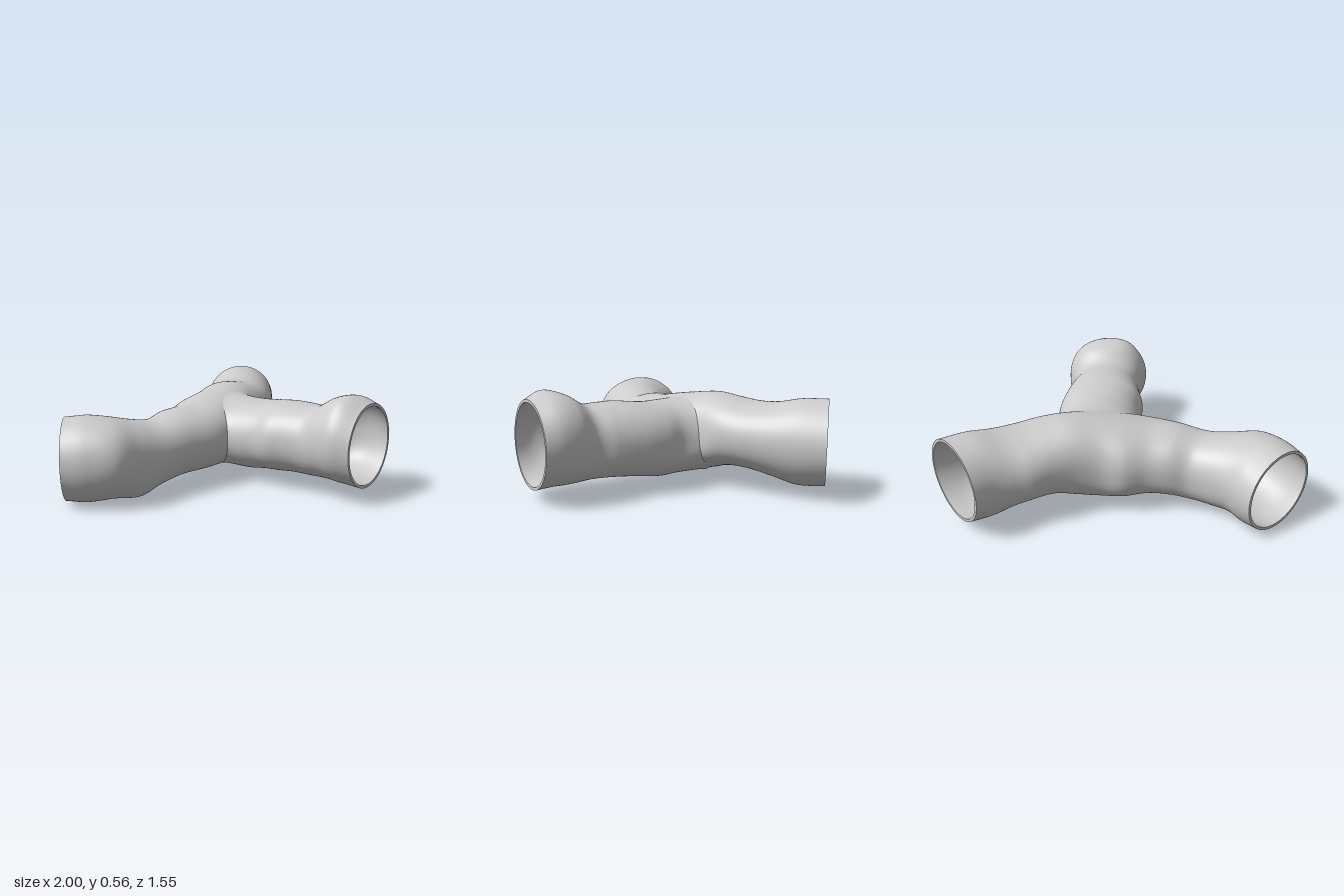
import * as THREE from 'three';

const WALL = 0.016, FLARE = 0.02, AROUND = 96;
const material = new THREE.MeshStandardMaterial({ color: 0xcccccc });

// Sections: front x, front z, back x, back z, bottom y, top y
const MAIN = [
  [-1, -0.32, -0.67, -0.64, 0.005, 0.455],
  [-0.92, -0.21, -0.61, -0.575, 0, 0.465],
  [-0.8, -0.105, -0.55, -0.505, 0.02, 0.45],
  [-0.65, -0.087, -0.46, -0.45, 0.03, 0.42],
  [-0.5, -0.065, -0.36, -0.415, 0.04, 0.402],
  [-0.32, -0.025, -0.26, -0.425, 0.062, 0.43],
  [-0.15, 0.02, -0.15, -0.435, 0.065, 0.44],
  [0, 0.015, -0.03, -0.47, 0.055, 0.465],
  [0.2, -0.03, 0.09, -0.465, 0.05, 0.49],
  [0.37, -0.1, 0.2, -0.49, 0.075, 0.505],
  [0.5, -0.135, 0.31, -0.54, 0.11, 0.49],
  [0.62, -0.19, 0.41, -0.6, 0.11, 0.475],
  [0.74, -0.265, 0.5, -0.642, 0.085, 0.48],
  [0.87, -0.355, 0.585, -0.695, 0.05, 0.505],
  [0.998, -0.452, 0.67, -0.775, 0.055, 0.51],
];

// Branch sections every 0.1 towards the back: left x, right x, bottom y, top y
const Z0 = 0.773, Z_END = -0.227;
const BRANCH = [
  [0.412, -0.045, 0.065, 0.525], [0.425, -0.072, 0.08, 0.555],
  [0.415, -0.055, 0.085, 0.535], [0.37, -0.04, 0.085, 0.48],
  [0.39, -0.055, 0.085, 0.478], [0.407, -0.077, 0.078, 0.478],
  [0.417, -0.07, 0.068, 0.468], [0.41, -0.075, 0.055, 0.46],
  [0.38, -0.07, 0.055, 0.46], [0.38, -0.065, 0.06, 0.458],
  [0.38, -0.065, 0.07, 0.45],
].map(([l, r, b, t], i) => [l, Z0 - i * 0.1, r, Z0 - i * 0.1, b, t]);

// Soft swellings and dents: centre, radius, push
const LUMPS = [
  [[-0.6, 0.07, -0.17], 0.1, [0, -0.035, 0.005]],
  [[0.08, 0.53, 0.66], 0.09, [-0.01, 0.012, 0]],
  [[-0.72, 0.4, -0.5], 0.08, [0.005, -0.012, 0.005]],
  [[0.4, 0.13, -0.07], 0.11, [0.025, 0, 0.025]],
].map(([c, r, push]) => ({
  c: new THREE.Vector3(...c), r, push: new THREE.Vector3(...push),
}));

function lumpy(p) {
  const base = p.clone();
  for (const { c, r, push } of LUMPS) {
    p.addScaledVector(push, Math.exp(-base.distanceToSquared(c) / (r * r)));
  }
  return p;
}

// A duct holds two opposite edge curves; each section is a rounded-out ellipse
// between them, fullest at the lower corner on the given side, round at open ends
function duct(sections, side, ease) {
  const curve = (f) => new THREE.CatmullRomCurve3(sections.map(f), false, 'catmullrom', 0.5);
  const low = curve((s) => new THREE.Vector3(s[0], s[4], s[1]));
  const high = curve((s) => new THREE.Vector3(s[2], s[5], s[3]));
  const at = (t, inset) => {
    const f = low.getPoint(t), b = high.getPoint(t);
    const centre = f.clone().add(b).multiplyScalar(0.5);
    const half = f.clone().sub(b).multiplyScalar(0.5);
    const v = -half.y - inset;
    half.y = 0;
    half.setLength(half.length() - inset);
    return { centre, half, v };
  };
  const swell = (t, c, s) => {
    const amount = s < 0 && c * side > 0 ? 0.09 : 0.03;
    return 1 + amount * (2 * c * s) ** 2 * ease(t);
  };
  const point = (t, a, inset) => {
    const { centre, half, v } = at(t, inset);
    const c = Math.cos(a), s = Math.sin(a), k = swell(t, c, s);
    centre.addScaledVector(half, c * k);
    centre.y += v * s * k;
    return centre;
  };
  // Whether p lies within section t
  const within = (p, t, inset) => {
    const { centre, half, v } = at(t, inset);
    const d = p.clone().sub(centre);
    const x = d.dot(half) / half.lengthSq(), y = d.y / v, r = Math.hypot(x, y);
    return r < 1e-6 || r < swell(t, x / r, y / r);
  };
  return { at, point, within };
}

const main = duct(MAIN, -1, (t) => Math.min(1, 5 * t, 5 * (1 - t)));
const branch = duct(BRANCH, 1, (t) => Math.min(1, 8 * t));

function insideBranch(p, inset) {
  if (p.z < Z_END || p.z > Z0) return false;
  return branch.within(p, (Z0 - p.z) / (Z0 - Z_END), inset);
}

// Find the main section passing through p, then test against it
function insideMain(p, inset) {
  let lo = 5 / 14, hi = 12 / 14;
  for (let i = 0; i < 16; i++) {
    const t = (lo + hi) / 2, { centre, half } = main.at(t, inset);
    const ahead = (p.x - centre.x) * half.z - (p.z - centre.z) * half.x > 0;
    if (ahead) lo = t; else hi = t;
  }
  return main.within(p, (lo + hi) / 2, inset);
}

// Closed grid of rows x AROUND points, optionally flipped or with quads cut out
function grid(name, rows, point, flip = false, cut = () => false) {
  const pos = [], index = [], gone = [];
  for (let i = 0; i <= rows; i++) {
    for (let j = 0; j < AROUND; j++) {
      const p = point(i / rows, (j / AROUND) * Math.PI * 2, j);
      gone.push(cut(p));
      pos.push(...lumpy(p).toArray());
    }
  }
  for (let i = 0; i < rows; i++) {
    for (let j = 0; j < AROUND; j++) {
      const k = (j + 1) % AROUND;
      const a = i * AROUND + j, b = a + AROUND, c = (i + 1) * AROUND + k, d = i * AROUND + k;
      if (gone[a] && gone[b] && gone[c] && gone[d]) continue;
      if (flip) index.push(a, d, b, b, d, c);
      else index.push(a, b, d, b, c, d);
    }
  }
  const geometry = new THREE.BufferGeometry();
  geometry.setAttribute('position', new THREE.Float32BufferAttribute(pos, 3));
  geometry.setIndex(index);
  geometry.computeVertexNormals();
  const mesh = new THREE.Mesh(geometry, material);
  mesh.name = name;
  return mesh;
}

// Ring closing the wall thickness at an open end
const rim = (name, d, t) =>
  grid(name, 1, (s, a) => d.point(t, a, s * WALL), t === 0);

// Per angle, how far the branch runs before it meets the main duct
function branchLengths(inset, flare) {
  return Array.from({ length: AROUND }, (_, j) => {
    const a = (j / AROUND) * Math.PI * 2;
    let t = 0.6;
    while (t < 1 && !insideMain(branch.point(t, a, inset - flare), inset)) t += 0.002;
    return Math.min(t + 0.004, 1);
  });
}

export function createModel() {
  const model = new THREE.Group();
  model.name = 'ductJunction';

  const mainDuct = new THREE.Group();
  mainDuct.name = 'mainDuct';
  const branchDuct = new THREE.Group();
  branchDuct.name = 'branchDuct';

  // Outer and inner walls; the branch flares into the opening in the main duct
  for (const [label, inset, flare] of [['OuterWall', 0, FLARE], ['InnerWall', WALL, 0]]) {
    const flip = inset > 0;
    mainDuct.add(grid('main' + label, 150, (t, a) => main.point(t, a, inset), flip,
      (p) => insideBranch(p, inset)));
    const ends = branchLengths(inset, flare);
    branchDuct.add(grid('branch' + label, 80,
      (t, a, j) => branch.point(t * ends[j], a, inset - flare * t ** 14), flip));
  }

  // Rims of the three openings
  mainDuct.add(rim('rightRim', main, 0), rim('leftRim', main, 1));
  branchDuct.add(rim('frontRim', branch, 0));

  model.add(mainDuct, branchDuct);
  return model;
}
